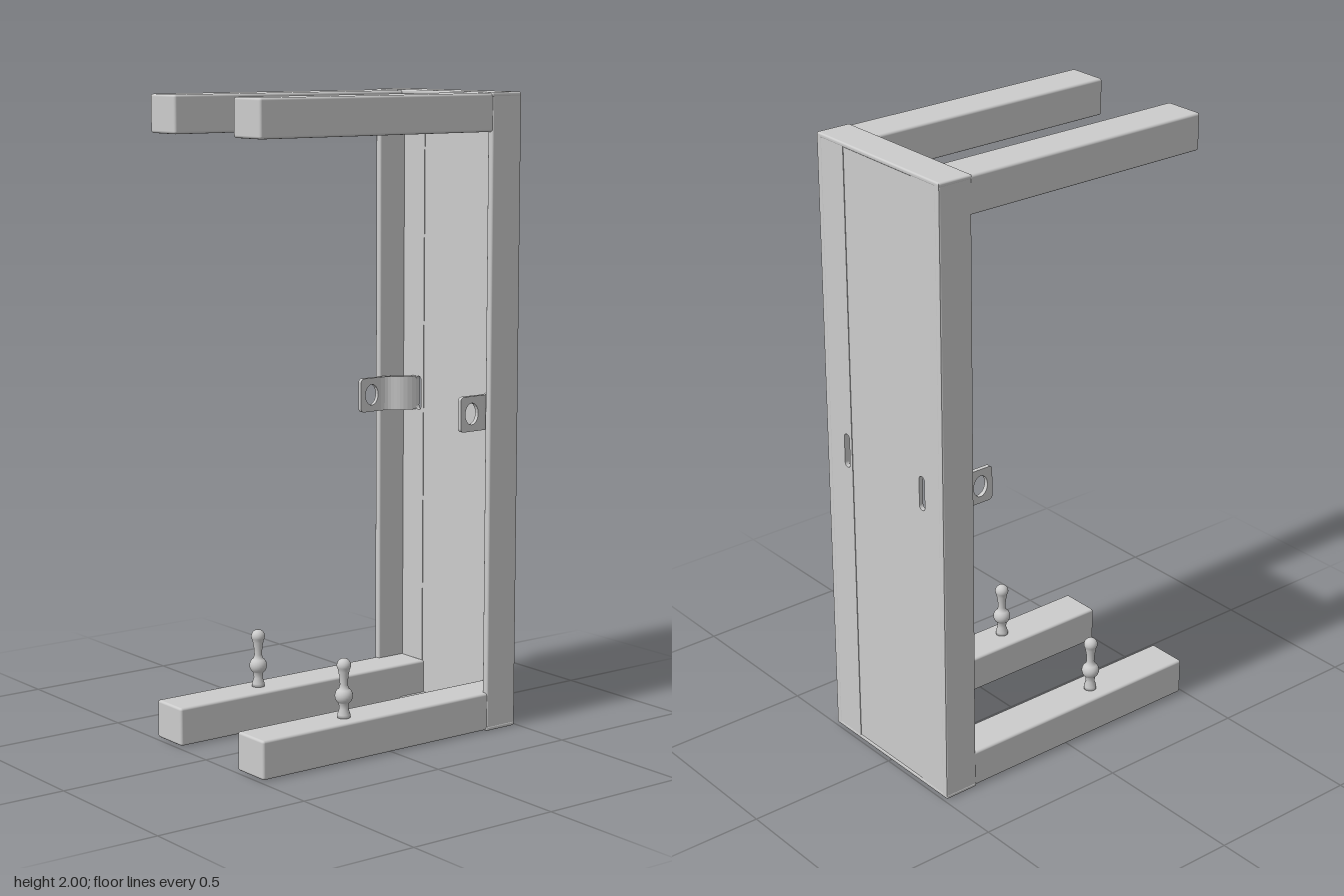
import * as THREE from 'three';
import { RoundedBoxGeometry } from 'three/addons/geometries/RoundedBoxGeometry.js';

const grey = new THREE.MeshStandardMaterial({ color: 0xcccccc });

function add(parent, name, geometry) {
  const mesh = new THREE.Mesh(geometry, grey);
  mesh.name = name;
  parent.add(mesh);
  return mesh;
}

// Softly rounded box given by its minimum and maximum corners
function box(parent, name, [x0, y0, z0], [x1, y1, z1], r = 0.006) {
  const mesh = add(parent, name, new RoundedBoxGeometry(x1 - x0, y1 - y0, z1 - z0, 2, r));
  mesh.position.set((x0 + x1) / 2, (y0 + y1) / 2, (z0 + z1) / 2);
  return mesh;
}

function roundedRect(path, x0, y0, x1, y1, r) {
  path.moveTo(x0 + r, y0);
  path.lineTo(x1 - r, y0);
  path.absarc(x1 - r, y0 + r, r, -Math.PI / 2, 0);
  path.absarc(x1 - r, y1 - r, r, 0, Math.PI / 2);
  path.absarc(x0 + r, y1 - r, r, Math.PI / 2, Math.PI);
  path.absarc(x0 + r, y0 + r, r, Math.PI, Math.PI * 1.5);
  return path;
}

// Back strip with an upright slot
function backStrip(side) {
  const x = (a, b) => (side > 0 ? [a, b] : [-b, -a]);
  const [a, b] = x(0.16, 0.285);
  const [c, d] = x(0.172, 0.198);
  const shape = roundedRect(new THREE.Shape(), a, 0.003, b, 1.997, 0.002);
  shape.holes.push(roundedRect(new THREE.Path(), c, 0.96, d, 1.07, 0.012));
  return new THREE.ExtrudeGeometry(shape, { depth: 0.014, bevelEnabled: false, curveSegments: 5 });
}

// Curved foot of the latch bracket, seen from above and extruded upward
function bracketFoot(side) {
  const s = new THREE.Shape();
  s.moveTo(side * 0.198, 0.482);
  s.bezierCurveTo(side * 0.2, 0.4, side * 0.243, 0.42, side * 0.243, 0.365);
  s.lineTo(side * 0.257, 0.365);
  s.bezierCurveTo(side * 0.257, 0.435, side * 0.215, 0.42, side * 0.212, 0.482);
  s.closePath();
  const g = new THREE.ExtrudeGeometry(s, { depth: 0.11, bevelEnabled: false, curveSegments: 10 });
  return g.rotateX(-Math.PI / 2).translate(0, 0.96, 0);
}

// Flat bracket plate with an eye, facing sideways
function bracketPlate(side) {
  const s = roundedRect(new THREE.Shape(), 0.283, 0.96, 0.375, 1.07, 0.012);
  const eye = new THREE.Path();
  eye.absellipse(0.327, 1.015, 0.026, 0.034, 0, Math.PI * 2);
  s.holes.push(eye);
  const g = new THREE.ExtrudeGeometry(s, { depth: 0.014, bevelEnabled: false, curveSegments: 10 });
  return g.rotateY(Math.PI / 2).translate(side * 0.25 - 0.007, 0, 0);
}

// Turned pin: foot, large ball, flared neck, small ball
function pinGeometry() {
  const pts = [[0, 0], [0.02, 0], [0.02, 0.012], [0.014, 0.03]];
  for (let i = 0; i <= 8; i++) {
    const a = -0.95 + (i / 8) * 1.95;
    pts.push([Math.cos(a) * 0.028, 0.07 + Math.sin(a) * 0.028]);
  }
  pts.push([0.012, 0.105], [0.014, 0.13], [0.017, 0.146]);
  for (let i = 0; i <= 8; i++) {
    const a = -0.6 + (i / 8) * (Math.PI / 2 + 0.6);
    pts.push([Math.cos(a) * 0.022, 0.165 + Math.sin(a) * 0.022]);
  }
  return new THREE.LatheGeometry(pts.map(([x, y]) => new THREE.Vector2(Math.max(0, x), y)), 24);
}

export function createModel() {
  const model = new THREE.Group();
  model.name = 'rackFrame';

  // Shallow tray standing upright at the back
  const tray = new THREE.Group();
  tray.name = 'backTray';
  model.add(tray);
  box(tray, 'backPanel', [-0.17, 0.004, -0.487], [0.17, 1.996, -0.477], 0.002);
  box(tray, 'topCap', [-0.287, 1.985, -0.49], [0.287, 2, -0.373]);
  box(tray, 'bottomCap', [-0.287, 0, -0.49], [0.287, 0.015, -0.373]);

  for (const side of [-1, 1]) {
    const label = side > 0 ? 'left' : 'right';
    const span = (a, b) => (side > 0 ? [a, b] : [-b, -a]);

    // Tray side wall and slotted back strip
    const [w0, w1] = span(0.263, 0.286);
    box(tray, label + 'SideWall', [w0, 0.002, -0.49], [w1, 1.998, -0.375]);
    add(tray, label + 'BackStrip', backStrip(side)).position.z = -0.489;

    // Upper and lower arms running forward from the tray
    const [a0, a1] = span(0.151, 0.284);
    box(model, label + 'LowerArm', [a0, 0.003, -0.48], [a1, 0.123, 0.489], 0.008);
    box(model, label + 'UpperArm', [a0, 1.88, -0.48], [a1, 1.997, 0.489], 0.008);

    // Latch bracket
    const bracket = new THREE.Group();
    bracket.name = label + 'Bracket';
    add(bracket, 'bracketFoot', bracketFoot(side));
    add(bracket, 'bracketPlate', bracketPlate(side)).position.z = 0;
    model.add(bracket);

    // Pin standing on the lower arm
    add(model, label + 'Pin', pinGeometry()).position.set(side * 0.224, 0.121, 0.145);
  }

  // Bracket plates sit ahead of the tray
  return model;
}
